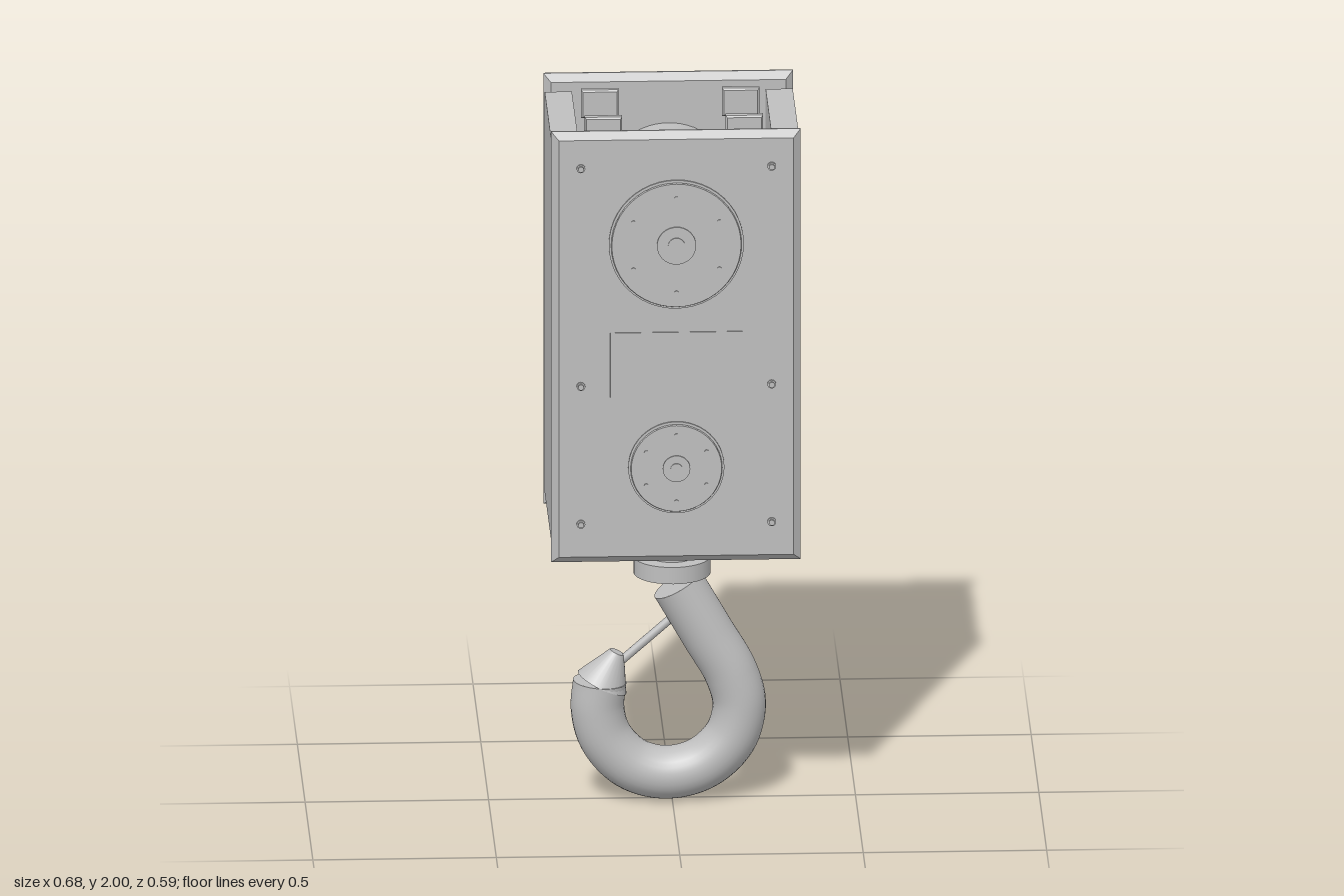
import * as THREE from 'three';

const steel = new THREE.MeshStandardMaterial({ color: 0xbfbfbf });
steel.name = 'grey steel';

function add(parent, name, geometry, x = 0, y = 0, z = 0) {
  const mesh = new THREE.Mesh(geometry, steel);
  mesh.name = name;
  mesh.position.set(x, y, z);
  parent.add(mesh);
  return mesh;
}

// Box with chamfered edges, centred on its origin
function chamferBox(w, h, d, c) {
  const x = w / 2 - c, y = h / 2 - c;
  const shape = new THREE.Shape([[-x, -y], [x, -y], [x, y], [-x, y]].map(p => new THREE.Vector2(...p)));
  const geo = new THREE.ExtrudeGeometry(shape, {
    depth: d - 2 * c, bevelEnabled: true, bevelThickness: c, bevelSize: c, bevelSegments: 1,
  });
  return geo.translate(0, 0, -(d / 2 - c));
}

// Cylinder along z from z0 to z1
function disc(r, z0, z1, sides = 48, rFront = r) {
  return new THREE.CylinderGeometry(rFront, r, z1 - z0, sides).rotateX(Math.PI / 2).translate(0, 0, (z0 + z1) / 2);
}

// Round bearing cover with hub and ring of bolts
function bearingCover(parent, y, r, bolts) {
  const cover = new THREE.Group();
  cover.name = 'bearingCover';
  cover.position.y = y;
  parent.add(cover);
  add(cover, 'coverRim', disc(r + 0.006, 0.268, 0.28));
  add(cover, 'coverStep', disc(r - 0.004, 0.28, 0.284));
  add(cover, 'coverDisc', disc(r, 0.284, 0.289, 48, r - 0.002));
  add(cover, 'hub', disc(r * 0.3, 0.289, 0.293, 32));
  add(cover, 'hubCentre', disc(r * 0.13, 0.293, 0.296, 24));
  for (let i = 0; i < bolts; i++) {
    const a = (i + 0.5) / bolts * Math.PI * 2;
    add(cover, 'coverBolt', disc(0.006, 0.288, 0.292, 8), Math.cos(a) * r * 0.76, Math.sin(a) * r * 0.76);
  }
}

// Front or back plate with covers, nameplate and corner bolts
function facePlate() {
  const face = new THREE.Group();
  face.name = 'facePlate';
  add(face, 'plate', chamferBox(0.68, 1.235, 0.045, 0.02), 0, 1.3825, 0.2525);
  bearingCover(face, 1.68, 0.178, 6);
  bearingCover(face, 1.04, 0.125, 6);
  add(face, 'nameplate', new THREE.BoxGeometry(0.36, 0.185, 0.004), 0, 1.335, 0.276);
  for (const x of [-0.26, 0.26]) {
    for (const y of [0.88, 1.275, 1.9]) {
      add(face, 'boltHead', disc(0.012, 0.274, 0.28, 12), x, y);
      add(face, 'boltEnd', disc(0.008, 0.28, 0.287, 12), x, y);
    }
  }
  return face;
}

// Curved hook with capped ends, pointed tip and safety latch
function buildHook() {
  const hook = new THREE.Group();
  hook.name = 'hook';
  const r = 0.073;
  const curve = new THREE.CatmullRomCurve3([
    [0.015, 0.615], [0.098, 0.47], [0.16, 0.36], [0.183, 0.27], [0.16, 0.175], [0.085, 0.1],
    [-0.015, 0.074], [-0.11, 0.1], [-0.18, 0.175], [-0.203, 0.26], [-0.197, 0.338],
  ].map(([x, y]) => new THREE.Vector3(x, y, 0)));
  add(hook, 'hookBend', new THREE.TubeGeometry(curve, 72, r, 28, false));
  for (const t of [0, 1]) {
    const p = curve.getPoint(t);
    const cap = add(hook, 'hookEndCap', new THREE.CircleGeometry(r, 28), p.x, p.y, 0);
    const out = curve.getTangent(t).multiplyScalar(t ? 1 : -1);
    cap.quaternion.setFromUnitVectors(new THREE.Vector3(0, 0, 1), out);
  }
  const tip = add(hook, 'hookTip', new THREE.CylinderGeometry(0.021, r, 0.096, 28), -0.17, 0.377, 0);
  tip.rotation.z = -0.44;

  const a = new THREE.Vector3(-0.15, 0.385, 0), b = new THREE.Vector3(0.02, 0.535, 0);
  const latch = add(hook, 'safetyLatch', new THREE.CylinderGeometry(0.012, 0.012, a.distanceTo(b), 12));
  latch.position.addVectors(a, b).multiplyScalar(0.5);
  latch.quaternion.setFromUnitVectors(new THREE.Vector3(0, 1, 0), b.sub(a).normalize());
  return hook;
}

export function createModel() {
  const model = new THREE.Group();
  model.name = 'hookBlock';

  // Housing
  const front = facePlate();
  const back = facePlate();
  back.rotation.y = Math.PI;
  model.add(front, back);
  for (const s of [-1, 1]) {
    add(model, 'sidePlate', chamferBox(0.074, 1.15, 0.46, 0.02), s * 0.301, 1.385, 0);
    for (const z of [-0.118, 0.118]) {
      add(model, 'ropeGuide', chamferBox(0.102, 0.08, 0.026, 0.005), s * 0.192, 1.957, z);
    }
  }

  // Drums running between the face plates
  add(model, 'upperDrum', disc(0.18, -0.25, 0.25, 64), 0, 1.68, 0);
  add(model, 'lowerDrum', disc(0.18, -0.25, 0.25, 64), 0, 1.04, 0);

  // Swivel
  add(model, 'swivelStem', new THREE.CylinderGeometry(0.062, 0.062, 0.24, 32), 0, 0.8, 0);
  add(model, 'swivelCollar', new THREE.CylinderGeometry(0.105, 0.105, 0.048, 40), 0, 0.671, 0);
  add(model, 'swivelCollarLip', new THREE.CylinderGeometry(0.098, 0.062, 0.012, 40), 0, 0.641, 0);
  model.add(buildHook());
  return model;
}
